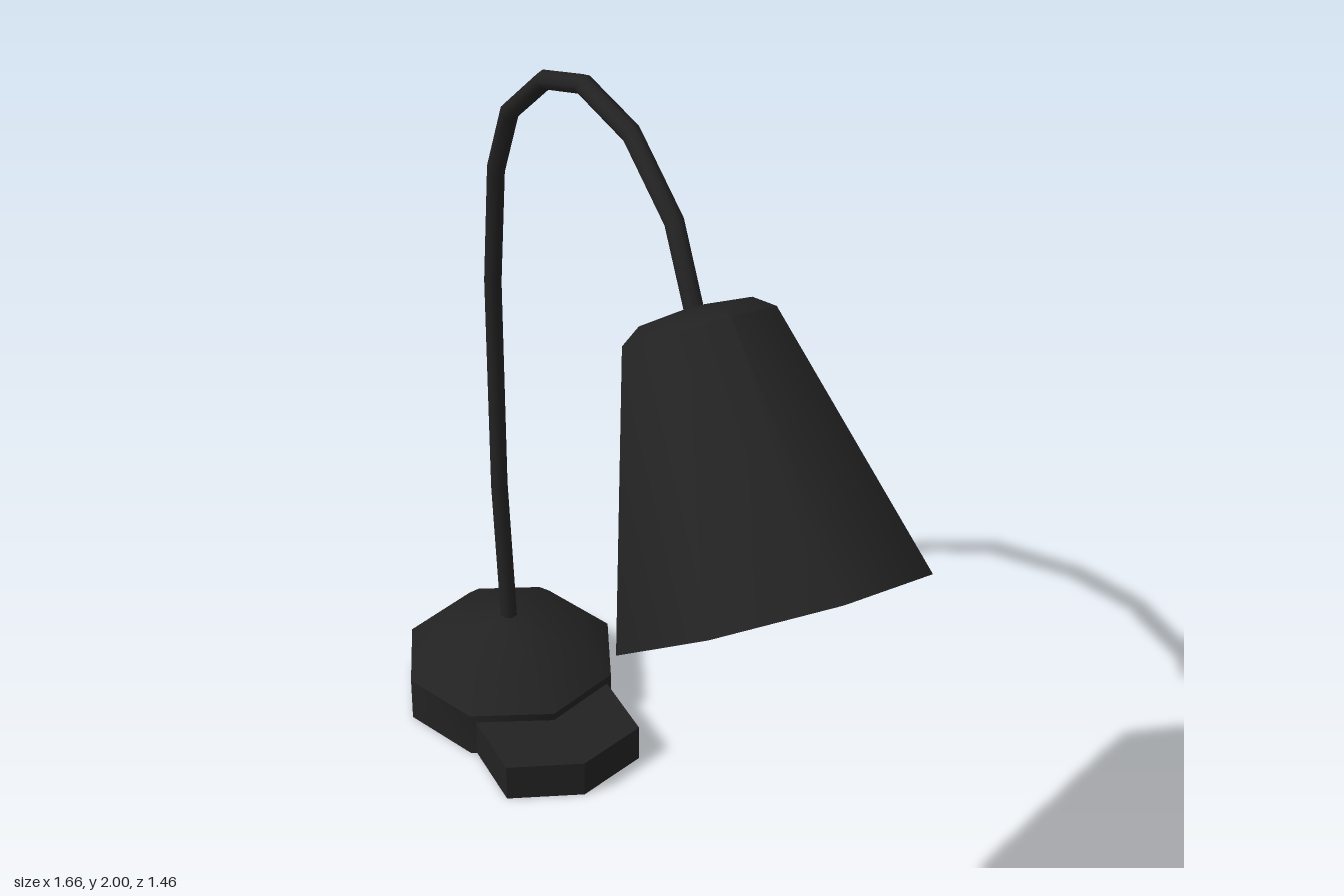
import * as THREE from 'three';
import { toCreasedNormals } from 'three/addons/utils/BufferGeometryUtils.js';

const SIDES = 8;
const CREASE = 0.795; // keeps the eight-sided turns smooth, sharpens profile corners

// Eight-sided turned part from [radius, height] pairs
function turned(profile) {
  const points = profile.map(([r, y]) => new THREE.Vector2(r, y));
  return toCreasedNormals(new THREE.LatheGeometry(points, SIDES), CREASE);
}

// Curve sampled exactly at its corner points, with mitred joints
class BentPath extends THREE.Curve {
  constructor(points) {
    super();
    this.points = points;
  }
  index(t) {
    return Math.round(t * (this.points.length - 1));
  }
  getPoint(t, target = new THREE.Vector3()) {
    return target.copy(this.points[this.index(t)]);
  }
  getPointAt(t, target) {
    return this.getPoint(t, target);
  }
  getTangentAt(t, target = new THREE.Vector3()) {
    const i = this.index(t);
    const last = this.points.length - 1;
    const p = this.points[i];
    target.set(0, 0, 0);
    if (i > 0) target.add(p.clone().sub(this.points[i - 1]).normalize());
    if (i < last) target.add(this.points[i + 1].clone().sub(p).normalize());
    return target.normalize();
  }
}

export function createModel() {
  const black = new THREE.MeshStandardMaterial({ color: 0x222222 });
  black.name = 'black';

  // The lamp is built with its arm in the xy plane, then turned
  const lamp = new THREE.Group();
  lamp.name = 'lamp';
  lamp.position.set(-0.557, 0, -0.4625);
  lamp.rotation.y = -THREE.MathUtils.degToRad(39.2);

  const add = (name, geometry) => {
    const mesh = new THREE.Mesh(geometry, black);
    mesh.name = name;
    lamp.add(mesh);
    return mesh;
  };

  // Weighted base with a shallow domed top
  add('base', turned([
    [0, 0], [0.274, 0], [0.274, 0.12], [0.207, 0.18], [0.035, 0.243], [0, 0.243],
  ]));

  // Low pointed foot reaching out under the arm
  const footShape = new THREE.Shape([
    [0.1, -0.18], [0.39, -0.18], [0.457, 0], [0.39, 0.18], [0.1, 0.18],
  ].map(([x, y]) => new THREE.Vector2(x, y)));
  const footGeometry = new THREE.ExtrudeGeometry(footShape, { depth: 0.1, bevelEnabled: false });
  footGeometry.rotateX(-Math.PI / 2);
  add('foot', footGeometry);

  // Gooseneck arm
  const armPoints = [
    [0, 0.2], [-0.04, 0.62], [-0.04, 1.21], [0, 1.53], [0.09, 1.72], [0.293, 1.895],
    [0.493, 1.979], [0.725, 1.979], [0.925, 1.88], [1.02, 1.725],
  ].map(([x, y]) => new THREE.Vector3(x, y, 0));
  add('arm', new THREE.TubeGeometry(new BentPath(armPoints), armPoints.length - 1, 0.022, 8, false));

  // Hollow tilted shade: inside wall, rim, outside wall, cap
  const shade = add('shade', turned([
    [0, 0.57], [0.15, 0.565], [0.322, 0.005], [0.345, 0],
    [0.17, 0.582], [0.125, 0.612], [0, 0.625],
  ]));
  shade.position.set(1.39, 1.235, 0);
  shade.rotation.z = 0.637;

  const model = new THREE.Group();
  model.name = 'deskLamp';
  model.add(lamp);
  return model;
}
